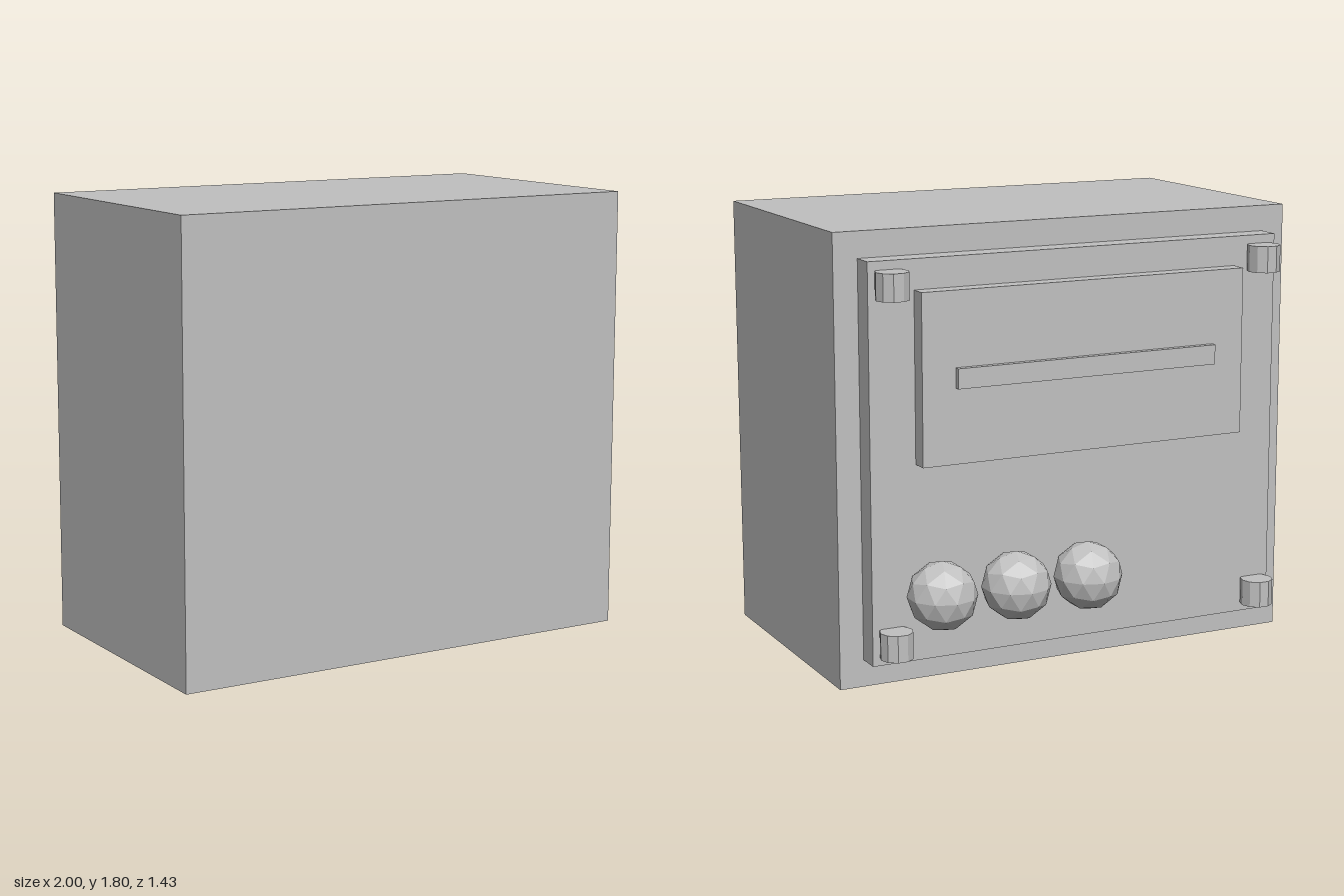
import * as THREE from 'three';

export function createModel() {
  const group = new THREE.Group();
  const grey = new THREE.MeshStandardMaterial({ color: 0xc0c0c0, flatShading: true });
  grey.name = 'plain grey';

  const add = (name, geometry, x = 0, y = 0, z = 0) => {
    const mesh = new THREE.Mesh(geometry, grey);
    mesh.name = name;
    mesh.position.set(x, y, z);
    group.add(mesh);
  };

  // Box given by its half width, height range and depth range
  const slab = (name, halfWidth, y0, y1, z0, z1) =>
    add(name, new THREE.BoxGeometry(halfWidth * 2, y1 - y0, z1 - z0), 0, (y0 + y1) / 2, (z0 + z1) / 2);

  // Cabinet with stacked plates on its back
  slab('cabinet', 1, 0, 1.805, -0.395, 0.717);
  slab('backPanel', 0.9, 0.11, 1.7, -0.492, -0.395);
  slab('raisedPlate', 0.71, 0.9, 1.58, -0.562, -0.492);
  slab('slotBar', 0.57, 1.2, 1.28, -0.587, -0.562);

  // Ten-sided posts at the panel corners
  const post = new THREE.CylinderGeometry(0.067, 0.067, 0.108, 10).rotateY(Math.PI / 2);
  for (const x of [-0.82, 0.82])
    for (const y of [0.203, 1.611]) add('cornerPost', post, x, y, -0.54);

  // Faceted knobs, turned so a corner points straight up
  const knob = new THREE.IcosahedronGeometry(0.14, 1)
    .rotateX(-Math.atan((1 + Math.sqrt(5)) / 2))
    .rotateY(Math.PI / 2);
  for (const x of [0, 0.32, 0.64]) add('knob', knob, x, 0.387, -0.577);

  return group;
}
